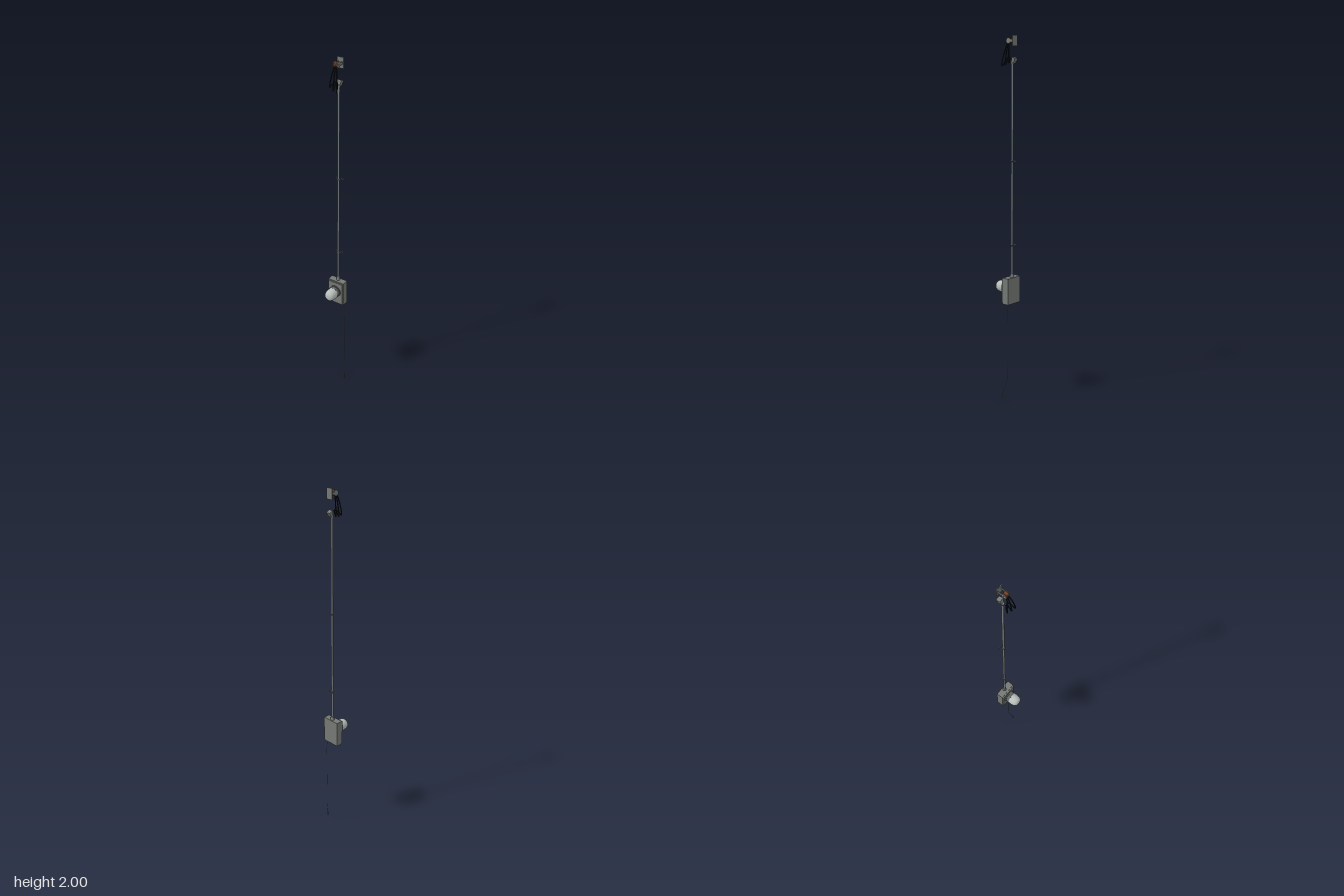
import * as THREE from 'three';

const CX = -0.007; // centre line of the conduit and box

export function createModel() {
  const root = new THREE.Group();
  root.name = 'electricServiceMast';
  const mat = (name, color) => {
    const m = new THREE.MeshStandardMaterial({ color });
    m.name = name;
    return m;
  };
  const boxGrey = mat('box grey', 0x757975);
  const steel = mat('conduit steel', 0x7c8284);
  const collarGrey = mat('collar grey', 0x626664);
  const glass = mat('pale dome', 0xb9c0bc);
  const brown = mat('brown porcelain', 0x74422a);
  const black = mat('black cable', 0x16181a);

  const add = (name, geo, material, x = 0, y = 0, z = 0, rx = 0, rz = 0) => {
    const m = new THREE.Mesh(geo, material);
    m.name = name;
    m.position.set(x, y, z);
    m.rotation.set(rx, 0, rz);
    root.add(m);
    return m;
  };
  const box = (name, material, w, h, d, x, y, z) =>
    add(name, new THREE.BoxGeometry(w, h, d), material, x, y, z);
  const tube = (name, material, pts, r, seg) =>
    add(name, new THREE.TubeGeometry(
      new THREE.CatmullRomCurve3(pts.map(p => new THREE.Vector3(...p)), false, 'centripetal'), seg, r, 8), material);
  const lathe = (pts, seg = 32) =>
    new THREE.LatheGeometry(pts.map(p => new THREE.Vector2(...p)), seg);
  const cyl = (r1, r2, h, seg = 24) => new THREE.CylinderGeometry(r1, r2, h, seg);

  // Meter box with a raised cover
  box('meterBox', boxGrey, 0.102, 0.148, 0.039, CX, 0.63, -0.0355);
  box('meterCover', boxGrey, 0.093, 0.138, 0.008, CX, 0.63, -0.0125);

  // Stepped collar and dome, facing the front
  const my = 0.64;
  add('collarFlange', cyl(0.037, 0.037, 0.007, 32), collarGrey, CX, my, -0.006, Math.PI / 2);
  add('collarRing', cyl(0.033, 0.033, 0.017, 32), collarGrey, CX, my, 0.005, Math.PI / 2);
  add('meterDome', lathe([[0.0325, 0.012], [0.033, 0.025], [0.0325, 0.038], [0.0305, 0.049],
    [0.026, 0.058], [0.019, 0.0638], [0.01, 0.0665], [0, 0.067]]), glass, CX, my, 0, Math.PI / 2);

  // Conduit with its hub on the box
  const cz = -0.04;
  add('conduit', cyl(0.006, 0.006, 1.16), steel, CX, 1.285, cz);
  add('conduitHub', cyl(0.009, 0.011, 0.022), steel, CX, 0.714, cz);

  // Saddle straps with flat tabs against the wall
  for (const y of [0.887, 1.345]) {
    add('strapSaddle', new THREE.TorusGeometry(0.0075, 0.0018, 8, 24), steel, CX, y, cz, Math.PI / 2)
      .scale.z = 1.6;
    for (const side of [-1, 1]) {
      box('strapTab', steel, 0.017, 0.006, 0.003, CX + side * 0.0155, y, -0.055);
      box('strapLeg', steel, 0.002, 0.006, 0.016, CX + side * 0.0078, y, -0.048);
    }
  }

  // Weatherhead: collar and a flared hood leaning back
  add('headCollar', cyl(0.0085, 0.0085, 0.012), steel, CX, 1.858, cz);
  const hood = cyl(0.0125 * Math.SQRT2, 0.008 * Math.SQRT2, 0.028, 4).toNonIndexed();
  hood.rotateY(Math.PI / 4);
  hood.computeVertexNormals();
  add('weatherHood', hood, boxGrey, CX, 1.872, -0.051, -0.4);

  // Wall plate, round-ended clevis and spool insulator
  const iy = 1.972, iz = -0.022;
  box('wallPlate', boxGrey, 0.036, 0.056, 0.004, CX, 1.972, -0.056);
  for (const side of [-1, 1]) {
    box('clevisArm', boxGrey, 0.003, 0.014, 0.034, CX + side * 0.0115, iy, -0.038);
    add('clevisEnd', cyl(0.015, 0.015, 0.003), boxGrey, CX + side * 0.0115, iy, iz, 0, Math.PI / 2);
  }
  add('clevisPin', cyl(0.003, 0.003, 0.03, 12), steel, CX, iy, iz, 0, Math.PI / 2);
  add('spoolInsulator', lathe([[0, -0.0095], [0.014, -0.0095], [0.015, -0.006], [0.011, -0.002],
    [0.011, 0.002], [0.015, 0.006], [0.014, 0.0095], [0, 0.0095]], 24), brown, CX, iy, iz, 0, Math.PI / 2);

  // Three drip loops hanging from the insulator and rising toward the weatherhead
  const loops = [[-0.029, 1.86, 0.005], [-0.006, 1.848, 0.01], [0.017, 1.842, 0.013]];
  loops.forEach(([x, y, z], i) => {
    const ox = CX + (i - 1) * 0.006;
    tube('serviceCable', black, [[ox, 1.962, -0.012], [ox * 0.7 + x * 0.3, 1.94, -0.005],
      [x, y + 0.014, z], [x, y, z], [x * 0.8 + ox * 0.2, y + 0.008, z - 0.007],
      [ox * 0.6 + x * 0.4, 1.877, -0.01], [ox, 1.888, -0.016]], 0.003, 48);
  });

  // Ground wire leaving the box through a gland, with a small tapered end
  add('groundGland', cyl(0.006, 0.005, 0.014, 16), collarGrey, 0.018, 0.552, cz);
  tube('groundWire', collarGrey, [[0.018, 0.555, cz], [0.026, 0.548, -0.041], [0.032, 0.53, -0.044],
    [0.033, 0.42, -0.046], [0.033, 0.28, -0.046], [0.0355, 0.135, -0.046], [0.0375, 0.115, -0.044],
    [0.053, 0.03, -0.022]], 0.001, 80);
  add('groundEnd', cyl(0.0015, 0.0045, 0.036, 12), collarGrey, 0.0535, 0.018, -0.0215);
  return root;
}
